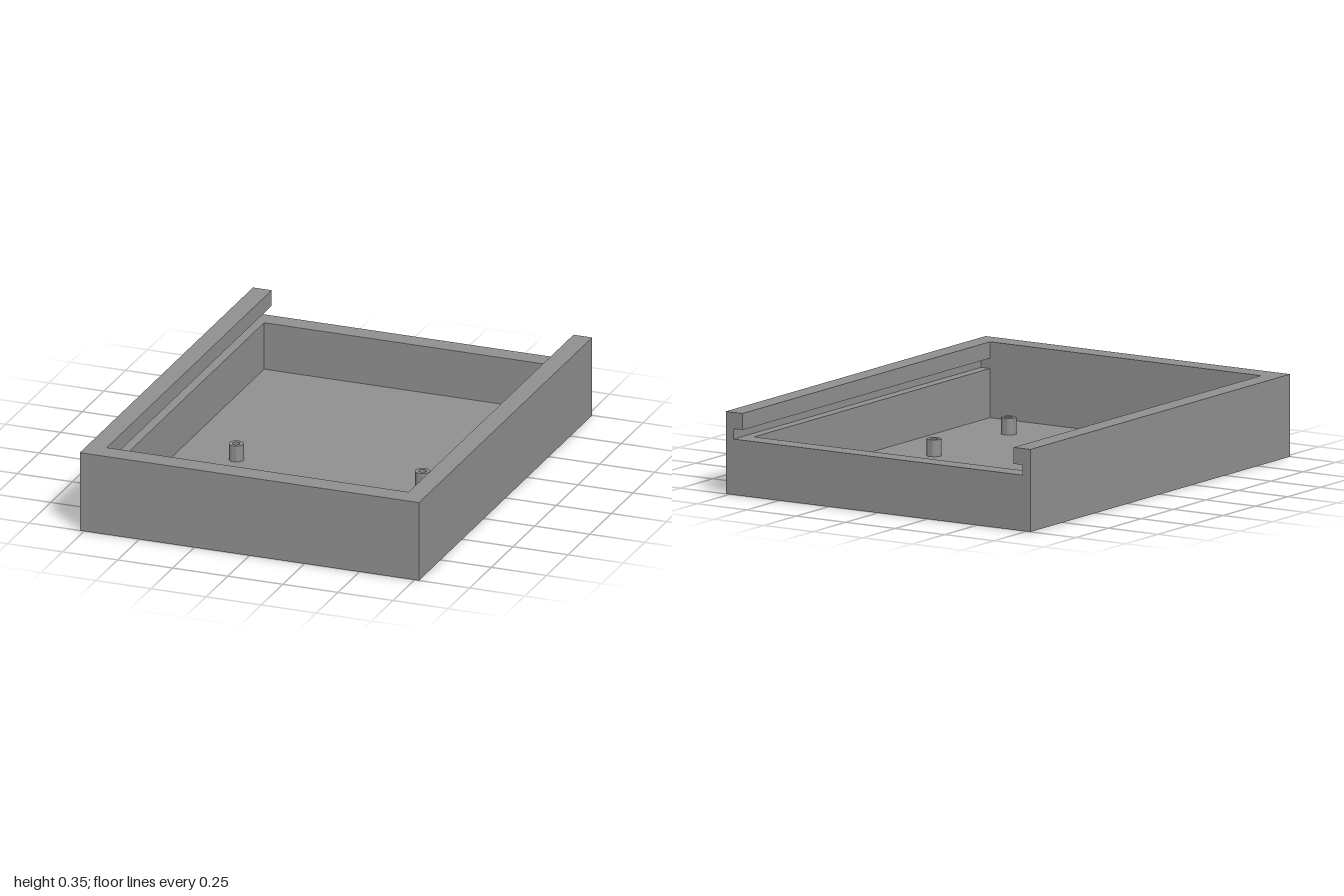
import * as THREE from 'three';
import { toCreasedNormals } from 'three/addons/utils/BufferGeometryUtils.js';

// Overall size
const HALF_W = 0.77, HEIGHT = 0.355;
const FLOOR = 0.0285;                       // floor thickness
const IN_X = 0.685;                         // half width of the cavity
const Z_BACK = -0.912, Z_FRONT = 0.905;     // cavity ends
// Lid groove in the side walls
const GROOVE_X = 0.73, GROOVE_LOW = 0.24, GROOVE_HIGH = 0.284;

export function createModel() {
  const model = new THREE.Group();
  model.name = 'slidingLidTray';
  const grey = new THREE.MeshStandardMaterial({ color: 0x909090 });
  grey.name = 'grey';

  const add = (name, geometry) => {
    const mesh = new THREE.Mesh(geometry, grey);
    mesh.name = name;
    model.add(mesh);
    return mesh;
  };

  // Box given by its lower and upper corners
  const block = (name, [x0, y0, z0], [x1, y1, z1]) =>
    add(name, new THREE.BoxGeometry(x1 - x0, y1 - y0, z1 - z0))
      .position.set((x0 + x1) / 2, (y0 + y1) / 2, (z0 + z1) / 2);

  block('floor', [-HALF_W, 0, -1], [HALF_W, FLOOR, 1]);
  block('frontWall', [-HALF_W, FLOOR, Z_FRONT], [HALF_W, HEIGHT, 1]);
  // The lower back wall lets the lid slide in
  block('backWall', [-IN_X, FLOOR, -1], [IN_X, GROOVE_LOW, Z_BACK]);

  for (const side of [1, -1]) {
    const label = side > 0 ? 'left' : 'right';

    // Side wall: grooved profile run from the back to the front wall
    const profile = new THREE.Shape([
      [HALF_W, FLOOR], [HALF_W, HEIGHT], [IN_X, HEIGHT], [IN_X, GROOVE_HIGH],
      [GROOVE_X, GROOVE_HIGH], [GROOVE_X, GROOVE_LOW], [IN_X, GROOVE_LOW], [IN_X, FLOOR],
    ].map(([x, y]) => new THREE.Vector2(side * x, y)));
    add(label + 'GroovedWall', new THREE.ExtrudeGeometry(profile, {
      depth: Z_FRONT + 1, bevelEnabled: false,
    })).position.z = -1;

    // Hollow mounting posts on the floor
    for (const [place, z] of [['Rear', 0.075], ['Front', 0.65]]) {
      const ring = new THREE.Shape().absarc(0, 0, 0.032, 0, Math.PI * 2);
      ring.holes.push(new THREE.Path().absarc(0, 0, 0.016, 0, Math.PI * 2, true));
      const post = new THREE.ExtrudeGeometry(ring, {
        depth: 0.072, bevelEnabled: false, curveSegments: 32,
      });
      post.rotateX(-Math.PI / 2);
      add(label + place + 'Post', toCreasedNormals(post, 0.6))
        .position.set(side * 0.423, FLOOR, z);
    }
  }
  return model;
}
